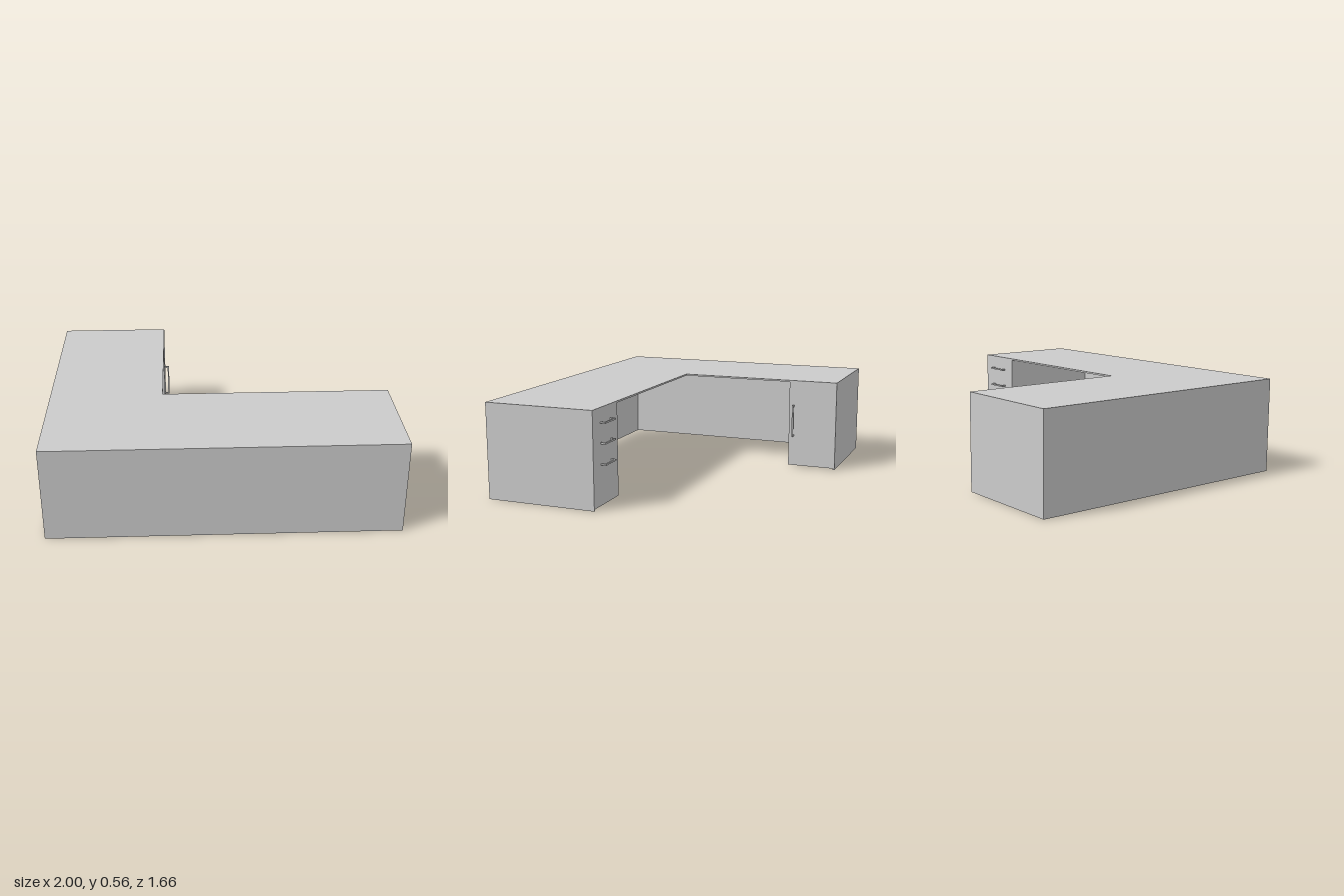
import * as THREE from 'three';

const H = 0.555;      // desk height
const T = 0.01;       // board thickness
const INNER_X = -0.34, INNER_Z = 0.17; // inner edges of the two wings
const END_Z = 0.83;
const CAB = 0.3;      // cabinet width

export function createModel() {
  const desk = new THREE.Group();
  desk.name = 'cornerDesk';
  const material = new THREE.MeshStandardMaterial({ color: 0xcccccc, flatShading: true });

  function add(name, geometry) {
    const mesh = new THREE.Mesh(geometry, material);
    mesh.name = name;
    desk.add(mesh);
    return mesh;
  }

  // Box given by its lower and upper corners
  function board(name, [x0, y0, z0], [x1, y1, z1]) {
    add(name, new THREE.BoxGeometry(x1 - x0, y1 - y0, z1 - z0))
      .position.set((x0 + x1) / 2, (y0 + y1) / 2, (z0 + z1) / 2);
  }

  // L-shaped worktop (shape y becomes -z)
  const outline = new THREE.Shape([
    [-1, -END_Z], [1, -END_Z], [1, -INNER_Z],
    [INNER_X, -INNER_Z], [INNER_X, END_Z], [-1, END_Z],
  ].map(([x, y]) => new THREE.Vector2(x, y)));
  const top = add('worktop', new THREE.ExtrudeGeometry(outline, { depth: T, bevelEnabled: false }));
  top.rotation.x = -Math.PI / 2;
  top.position.y = H - T;

  // Outer panels reaching the floor
  const under = H - T;
  board('frontPanel', [-1, 0, END_Z - T], [1, under, END_Z]);
  board('sidePanel', [-1, 0, -END_Z], [-1 + T, under, END_Z - T]);
  board('drawerEndPanel', [1 - T, 0, INNER_Z], [1, under, END_Z - T]);
  board('doorEndPanel', [-1 + T, 0, -END_Z], [INNER_X, under, -END_Z + T]);

  // Cabinets, slightly clear of the floor
  board('drawerCabinet', [1 - CAB, T, INNER_Z], [1 - T, under, END_Z - T]);
  board('doorCabinet', [-1 + T, T, -END_Z + T], [INNER_X, under, -END_Z + CAB]);

  // U-shaped pull: spans x, projects along +y, centred in depth
  function pull(name, length) {
    const a = length / 2, reach = 0.03, w = 0.009;
    const u = new THREE.Shape([
      [-a, 0], [-a + w, 0], [-a + w, reach - w], [a - w, reach - w],
      [a - w, 0], [a, 0], [a, reach], [-a, reach],
    ].map(([x, y]) => new THREE.Vector2(x, y)));
    const geometry = new THREE.ExtrudeGeometry(u, { depth: w, bevelEnabled: false });
    return add(name, geometry.translate(0, 0, -w / 2));
  }

  // Drawer pulls project towards -z
  [0.472, 0.358, 0.24].forEach((y) => {
    const handle = pull('drawerHandle', 0.13);
    handle.rotation.x = -Math.PI / 2;
    handle.position.set(0.845, y, INNER_Z);
  });

  // Upright door pull projects towards +x
  const doorHandle = pull('doorHandle', 0.2);
  doorHandle.rotation.z = -Math.PI / 2;
  doorHandle.position.set(INNER_X, 0.3, -0.56);

  return desk;
}
